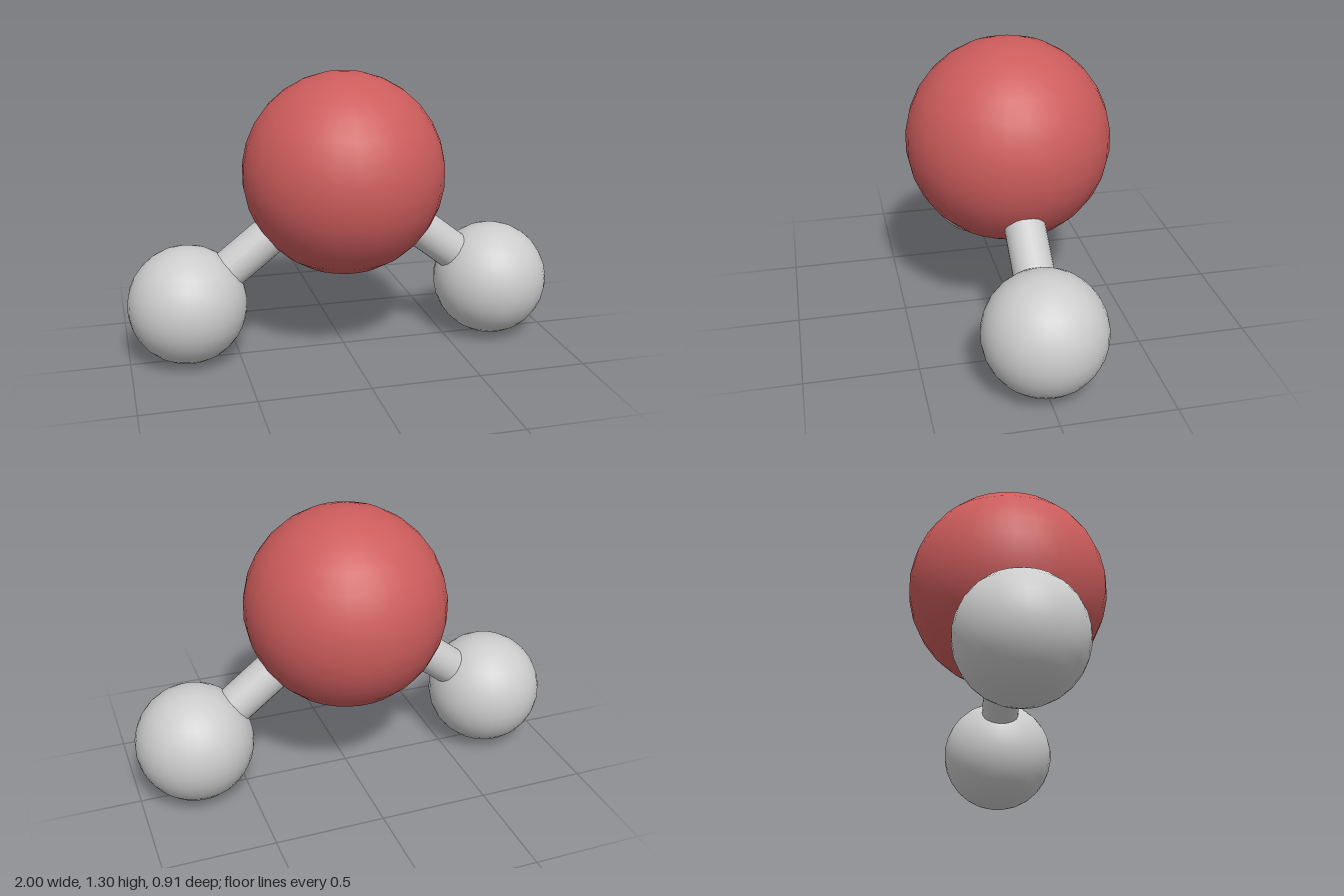
import * as THREE from 'three';

export function createModel() {
  const model = new THREE.Group();
  const red = new THREE.MeshStandardMaterial({ name: 'soft red', color: 0xcd5c5c });
  const grey = new THREE.MeshStandardMaterial({ name: 'light grey', color: 0xcccccc });

  const centre = new THREE.Vector3(0, 0.84, 0);

  function ball(name, radius, position, material) {
    const mesh = new THREE.Mesh(new THREE.SphereGeometry(radius, 30, 15), material);
    mesh.name = name;
    mesh.position.copy(position);
    model.add(mesh);
  }

  // Large central atom
  ball('centralAtom', 0.462, centre, red);

  // Two small atoms, each joined to the centre by a round rod
  for (const [side, sx] of [['left', 1], ['right', -1]]) {
    const end = new THREE.Vector3(sx * 0.73, 0.27, 0);
    ball(side + 'Atom', 0.27, end, grey);

    const direction = end.clone().sub(centre);
    const bond = new THREE.Mesh(
      new THREE.CylinderGeometry(0.09, 0.09, direction.length(), 24, 1, true), grey);
    bond.name = side + 'Bond';
    bond.position.copy(centre).lerp(end, 0.5);
    bond.quaternion.setFromUnitVectors(new THREE.Vector3(0, 1, 0), direction.normalize());
    model.add(bond);
  }

  return model;
}
